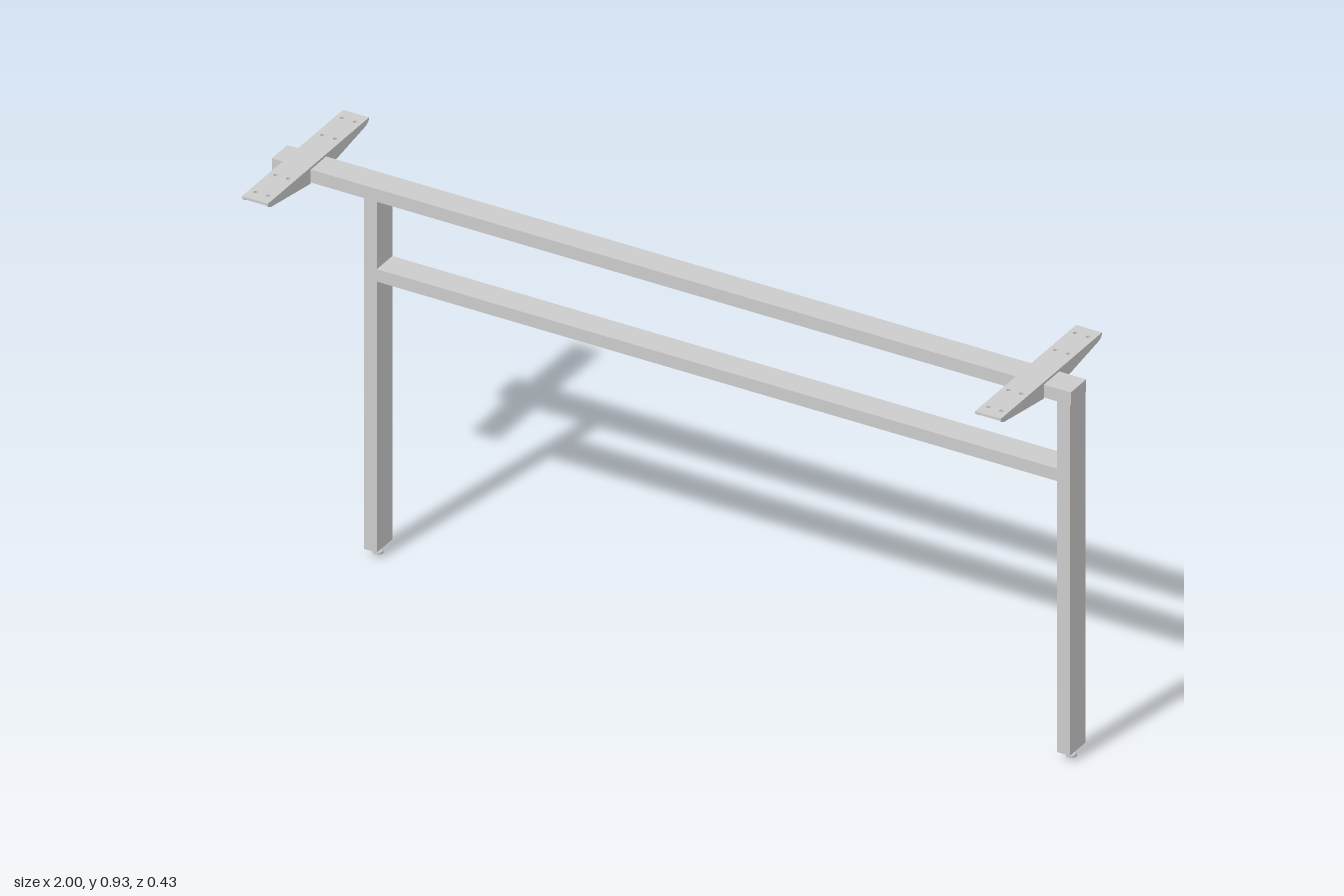
import * as THREE from 'three';

const material = new THREE.MeshStandardMaterial({ color: 0xcccccc, flatShading: true });
const DEPTH = 0.066, BAR = 0.032, TOP = 0.927, BOTTOM = 0.895;
const LEG_X = [-0.753, 0.982];
const BRACKET_X = [-0.935, 0.9];

function add(parent, name, geometry, x = 0, y = 0, z = 0) {
  const mesh = new THREE.Mesh(geometry, material);
  mesh.name = name;
  mesh.position.set(x, y, z);
  parent.add(mesh);
  return mesh;
}

// Box given by its x and y limits, centred on z
function bar(parent, name, x0, x1, y0, y1) {
  add(parent, name, new THREE.BoxGeometry(x1 - x0, y1 - y0, DEPTH), (x0 + x1) / 2, (y0 + y1) / 2, 0);
}

function makeLeg(x) {
  const leg = new THREE.Group();
  leg.name = 'leg';
  bar(leg, 'post', x - BAR / 2, x + BAR / 2, 0.02, BOTTOM);
  // Levelling foot: pad, cone and threaded stem
  const profile = [[0, 0], [0.012, 0], [0.012, 0.006], [0.009, 0.009], [0.004, 0.01], [0.004, 0.021], [0, 0.021]];
  add(leg, 'levellingFoot', new THREE.LatheGeometry(profile.map(p => new THREE.Vector2(...p)), 20), x);
  return leg;
}

function makeBracket(x) {
  const bracket = new THREE.Group();
  bracket.name = 'bracket';
  bracket.position.x = x;
  const half = 0.0325, thick = 0.006, length = 0.216;

  // Top plate with screw holes
  const plate = new THREE.Shape([
    [-half, -length], [half, -length], [half, length], [-half, length],
  ].map(p => new THREE.Vector2(...p)));
  for (const hx of [-0.016, 0.016]) {
    for (const hz of [-0.185, -0.1, 0.1, 0.185]) {
      plate.holes.push(new THREE.Path().absarc(hx, hz, 0.005, 0, Math.PI * 2, true));
    }
  }
  const plateGeo = new THREE.ExtrudeGeometry(plate, { depth: thick, bevelEnabled: false, curveSegments: 6 });
  plateGeo.rotateX(-Math.PI / 2);
  add(bracket, 'topPlate', plateGeo, 0, TOP, 0);

  // Tapered side flanges on both sides of the beam
  for (const end of [-1, 1]) {
    const flange = new THREE.Shape();
    flange.moveTo(end * DEPTH / 2, TOP);
    flange.lineTo(end * DEPTH / 2, 0.892);
    flange.lineTo(end * 0.2, 0.918);
    flange.quadraticCurveTo(end * 0.21, 0.92, end * 0.2145, TOP);
    const geo = new THREE.ExtrudeGeometry(flange, { depth: thick, bevelEnabled: false, curveSegments: 5 });
    geo.rotateY(-Math.PI / 2); // shape x becomes z, depth runs to -x
    for (const fx of [-half + thick, half]) add(bracket, 'flange', geo, fx);
  }
  return bracket;
}

export function createModel() {
  const model = new THREE.Group();
  model.name = 'tableFrame';
  bar(model, 'topBeam', -1, 1, BOTTOM, TOP);
  bar(model, 'crossBar', LEG_X[0] + BAR / 2, LEG_X[1] - BAR / 2, 0.696, 0.727);
  for (const x of LEG_X) model.add(makeLeg(x));
  for (const x of BRACKET_X) model.add(makeBracket(x));
  return model;
}
